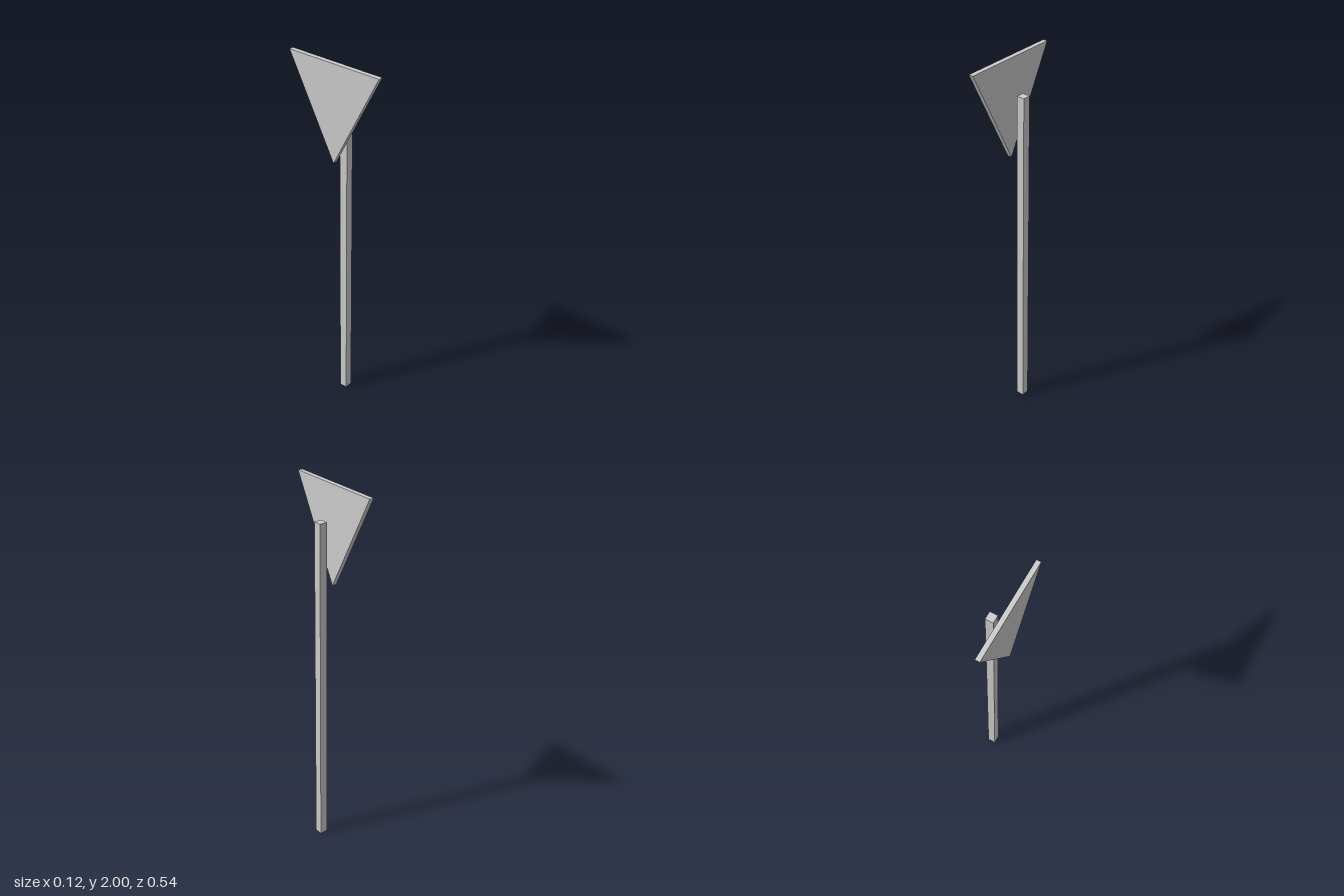
import * as THREE from 'three';

export function createModel() {
  const group = new THREE.Group();
  const material = new THREE.MeshStandardMaterial({ color: 0xcccccc, flatShading: true });

  // Square post
  const postHeight = 1.825;
  const post = new THREE.Mesh(new THREE.BoxGeometry(0.043, postHeight, 0.043), material);
  post.name = 'post';
  post.position.set(0.0385, postHeight / 2, 0);
  group.add(post);

  // Triangular sign panel, point down, standing parallel to the post
  const outline = new THREE.Shape([
    new THREE.Vector2(0, 1.47),
    new THREE.Vector2(0.272, 2),
    new THREE.Vector2(-0.272, 2),
  ]);
  const panel = new THREE.Mesh(
    new THREE.ExtrudeGeometry(outline, { depth: 0.025, bevelEnabled: false }),
    material
  );
  panel.name = 'signPanel';
  panel.rotation.y = Math.PI / 2;
  panel.position.x = -0.06;
  group.add(panel);

  return group;
}
